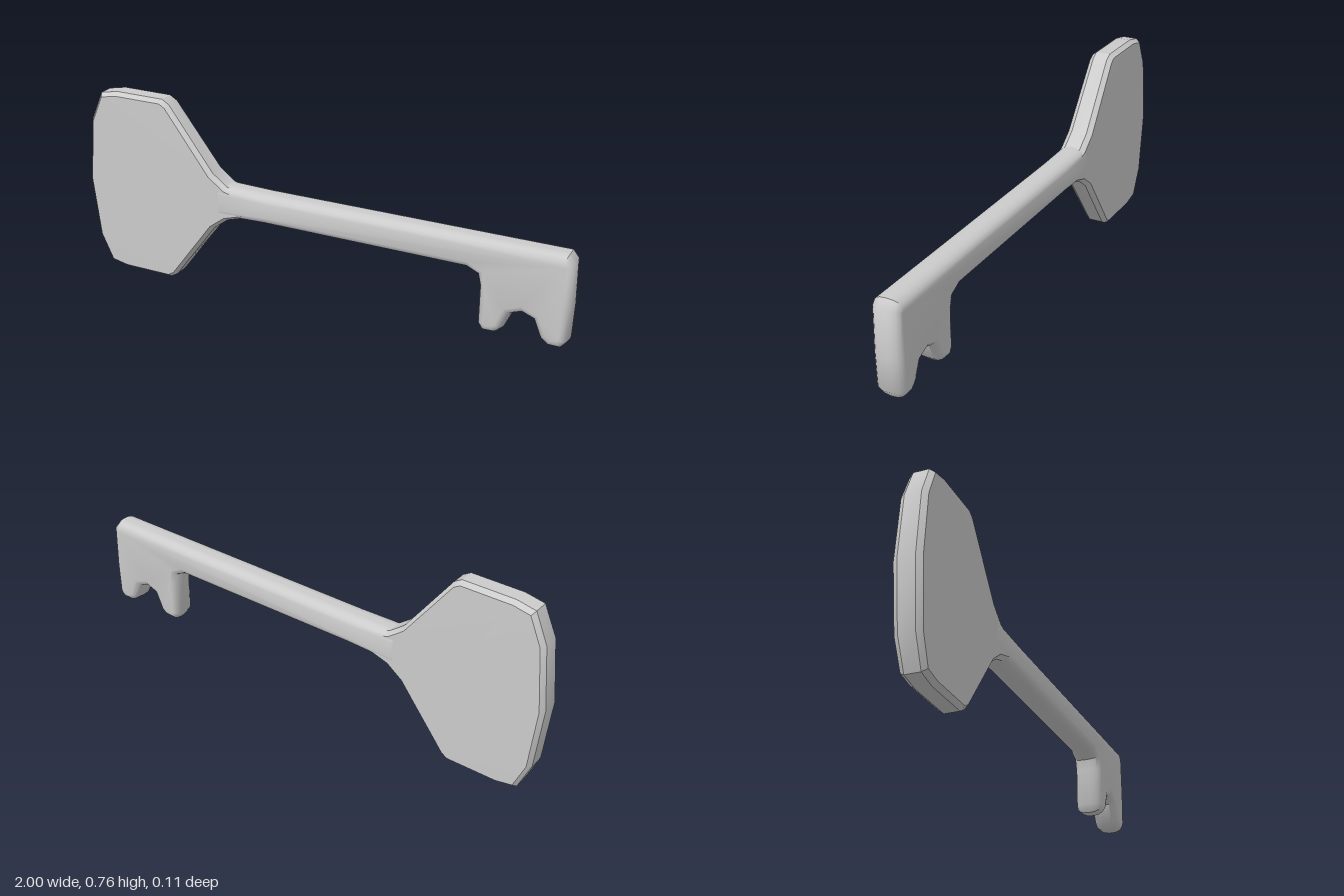
import * as THREE from 'three';
import { toCreasedNormals } from 'three/addons/utils/BufferGeometryUtils.js';

// Slab with an edge bevel that stays inside the given outline, centred on z = 0
function slab(points, halfDepth, bevelSize, bevelThickness, bevelSegments) {
  const shape = new THREE.Shape(points.map(([x, y]) => new THREE.Vector2(x, y)));
  const depth = 2 * (halfDepth - bevelThickness);
  const geometry = new THREE.ExtrudeGeometry(shape, {
    depth, bevelEnabled: true, bevelSize, bevelThickness, bevelSegments, bevelOffset: -bevelSize,
  });
  return geometry.translate(0, 0, -depth / 2);
}

export function createModel() {
  const key = new THREE.Group();
  key.name = 'key';
  const material = new THREE.MeshStandardMaterial({ color: 0xcccccc });
  const add = (name, geometry, crease) => {
    const mesh = new THREE.Mesh(toCreasedNormals(geometry, crease), material);
    mesh.name = name;
    key.add(mesh);
  };

  // Bow: upper half outline mirrored about the key axis, tip buried in the shaft
  const axisY = 0.38;
  const upper = [
    [-0.975, 0.25], [-0.925, 0.365], [-0.85, 0.38], [-0.645, 0.38], [-0.615, 0.362],
    [-0.43, 0.115], [-0.37, 0.07], [-0.24, 0.03],
  ];
  const bowOutline = [
    [-1, axisY],
    ...upper.map(([x, y]) => [x, axisY + y]),
    ...upper.slice().reverse().map(([x, y]) => [x, axisY - y]),
  ];
  const bow = slab(bowOutline, 0.052, 0.014, 0.02, 1);
  // Thin the bow slightly toward its top and bottom edges
  const p = bow.attributes.position;
  for (let i = 0; i < p.count; i++) {
    const t = Math.abs(p.getY(i) - axisY) / 0.38;
    p.setZ(i, p.getZ(i) * (1 - 0.1 * t * t));
  }
  add('bow', bow, 0.45);

  // Shaft and toothed bit in one rounded outline
  const bladeOutline = [
    [-0.42, 0.32], [-0.2, 0.328], [0.61, 0.33], [0.65, 0.312], [0.66, 0.27],
    [0.66, 0.12], [0.68, 0.09], [0.73, 0.092], [0.756, 0.115], [0.785, 0.182],
    [0.825, 0.197], [0.865, 0.182], [0.893, 0.115], [0.925, 0.09], [0.972, 0.09],
    [0.996, 0.12], [1, 0.25], [0.996, 0.425], [0.972, 0.455], [0.5, 0.452], [-0.2, 0.448], [-0.42, 0.452],
  ];
  add('shaftAndBit', slab(bladeOutline, 0.054, 0.03, 0.045, 4), 0.75);

  return key;
}
